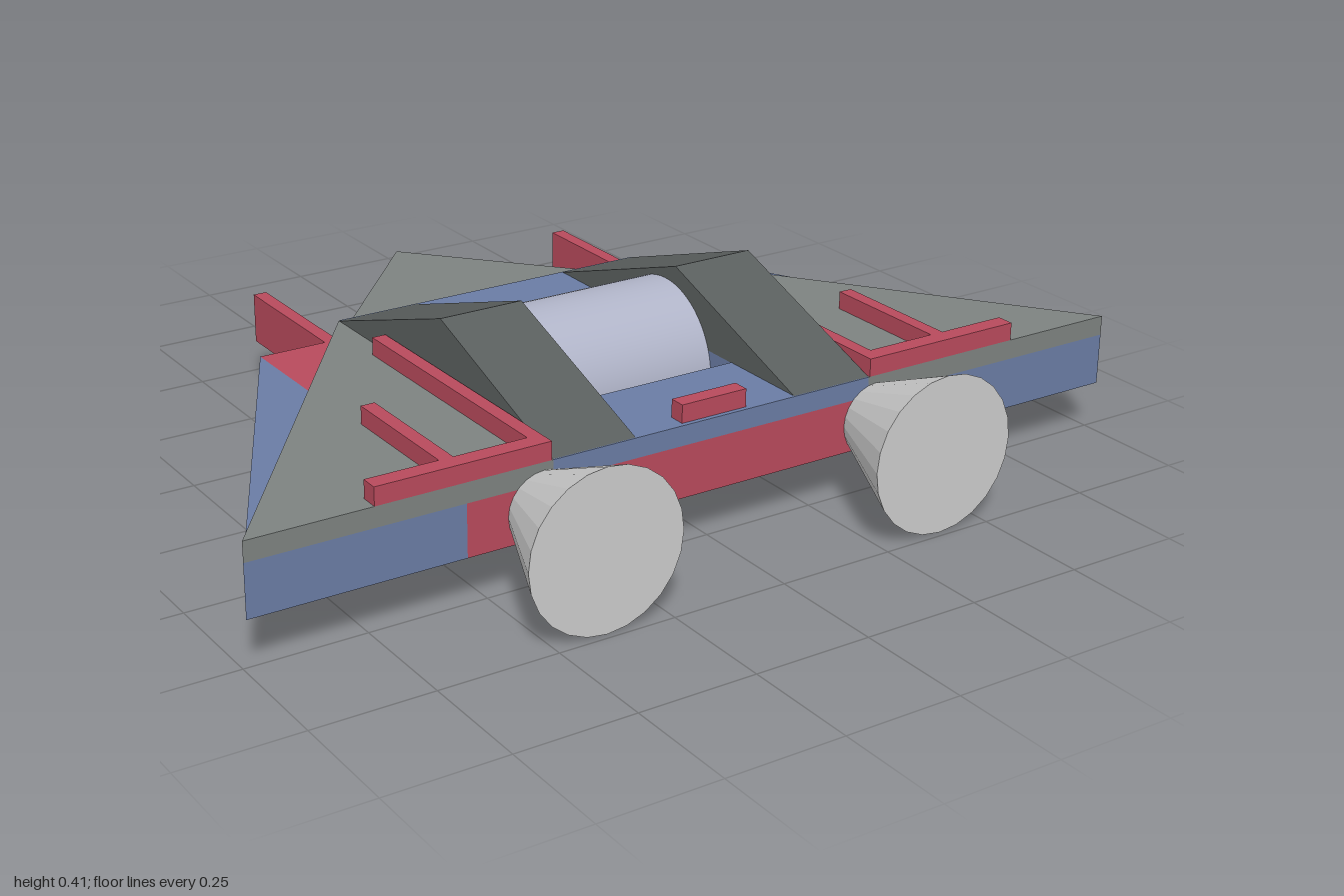
import * as THREE from 'three';

const material = (color, flatShading = true) => new THREE.MeshStandardMaterial({ color, flatShading });

export function createModel() {
  const model = new THREE.Group();
  const red = material(0xb84a5c);
  const blue = material(0x6a7ca4);
  const grey = material(0x7d8280);
  const dark = material(0x5a5f5e);
  const pale = material(0xb0b4c8, false);
  const metal = material(0xcccccc);

  const add = (name, geometry, mat) => {
    const mesh = new THREE.Mesh(geometry, mat);
    mesh.name = name;
    model.add(mesh);
    return mesh;
  };

  // Box given by its limits on each axis
  const box = (name, mat, [x0, x1], [y0, y1], [z0, z1]) =>
    add(name, new THREE.BoxGeometry(Math.abs(x1 - x0), y1 - y0, z1 - z0), mat)
      .position.set((x0 + x1) / 2, (y0 + y1) / 2, (z0 + z1) / 2);

  const extrude = (points, depth, holes = []) => {
    const toVectors = (list) => list.map(([a, b]) => new THREE.Vector2(a, b));
    const shape = new THREE.Shape(toVectors(points));
    shape.holes = holes.map((hole) => new THREE.Path(toVectors(hole)));
    return new THREE.ExtrudeGeometry(shape, { depth, bevelEnabled: false });
  };

  // Flat plate from an outline in (x, z)
  const plate = (name, mat, points, y0, y1, holes) =>
    add(name, extrude(points, y1 - y0, holes).rotateX(Math.PI / 2).translate(0, y1, 0), mat);

  // Hull layers and nose
  box('hull', red, [-0.555, 0.555], [0.11, 0.22], [-0.32, 0.525]);
  plate('deck', blue,
    [[-0.37, -0.32], [0.37, -0.32], [0.37, 0.525], [-0.37, 0.525]], 0.22, 0.262,
    [[[-0.187, -0.115], [-0.187, 0.315], [0.187, 0.315], [0.187, -0.115]]]);
  plate('nose', grey, [[-0.372, -0.32], [0, -0.742], [0.372, -0.32]], 0.11, 0.22);

  // Rounded canopy in the deck opening, and belly hatch
  add('canopy', new THREE.CylinderGeometry(0.168, 0.168, 0.372, 32, 1, false, 0, Math.PI)
    .rotateZ(Math.PI / 2).translate(0, 0.203, 0.078), pale);
  box('bellyHatch', material(0xb0b4c8), [-0.185, 0.185], [0.078, 0.11], [-0.105, 0.28]);
  box('deckLatch', red, [-0.075, 0.075], [0.262, 0.3], [0.48, 0.515]);

  for (const [side, s] of [['left', 1], ['right', -1]]) {
    const mirror = (points) => points.map(([x, z]) => [s * x, z]);
    const trim = (part, x, y, z) => box(side + part, red, x.map((v) => s * v), y, z);

    // Wings in two layers
    plate(side + 'LowerWing', blue, mirror([[0.555, -0.32], [1, 0.525], [0.555, 0.525]]), 0.11, 0.22);
    plate(side + 'UpperWing', grey, mirror([[0.37, -0.32], [1, 0.525], [0.37, 0.525]]), 0.22, 0.262);

    // Peaked ridge beside the canopy
    add(side + 'Ridge', extrude([[-0.32, 0.261], [0.525, 0.261], [0.115, 0.407]], 0.185)
      .rotateY(-Math.PI / 2).translate(s * 0.2785 + 0.0925, 0, 0), dark);

    // Prong and raised trim bars
    trim('Prong', [0.375, 0.405], [0.11, 0.22], [-0.66, -0.32]);
    trim('LongBar', [0.373, 0.403], [0.262, 0.3], [-0.11, 0.525]);
    trim('ShortBar', [0.56, 0.59], [0.262, 0.3], [0.19, 0.487]);
    trim('CrossBar', [0.403, 0.743], [0.262, 0.3], [0.487, 0.525]);

    // Engine cone
    add(side + 'Engine', new THREE.CylinderGeometry(0.166, 0.01, 0.375, 24)
      .rotateX(Math.PI / 2).translate(s * 0.39, 0.168, 0.5495), metal);
  }
  return model;
}
